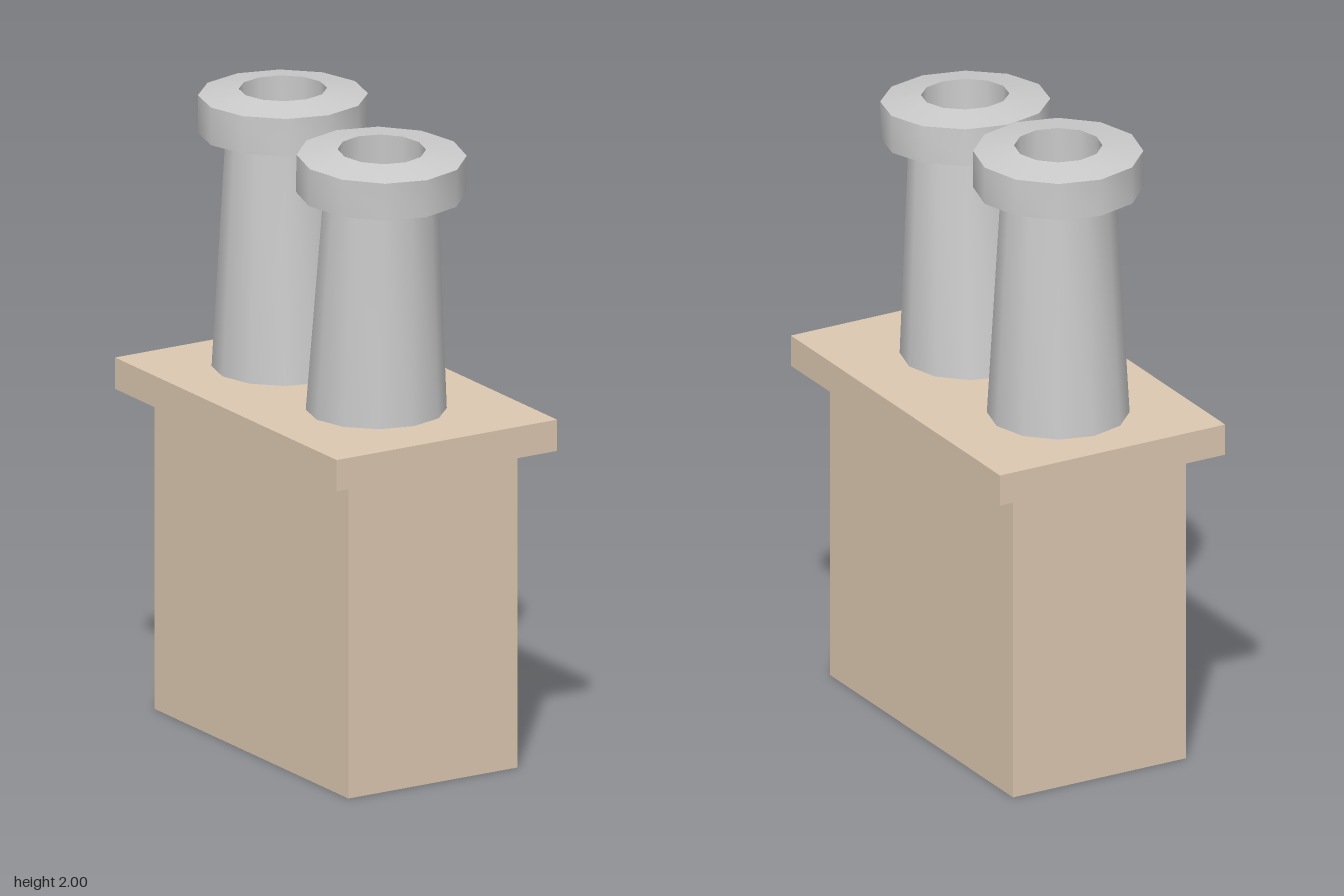
import * as THREE from 'three';
import { toCreasedNormals } from 'three/addons/utils/BufferGeometryUtils.js';

export function createModel() {
  const model = new THREE.Group();
  model.name = 'chimney';
  const brick = new THREE.MeshStandardMaterial({ color: 0xdcc8b0 });
  const clay = new THREE.MeshStandardMaterial({ color: 0xcccccc });

  // Box given by its size and the height of its underside
  function block(name, width, height, depth, bottom) {
    const mesh = new THREE.Mesh(new THREE.BoxGeometry(width, height, depth), brick);
    mesh.name = name;
    mesh.position.y = bottom + height / 2;
    model.add(mesh);
  }
  block('stack', 0.61, 1.016, 1.11, 0);
  block('capSlab', 0.795, 0.1, 1.27, 1.016);

  // Hollow tapered pot with a flanged rim: up the outside, down the bore
  const profile = [
    [0.157, 0], [0.218, 0], [0.175, 0.745], [0.26, 0.745],
    [0.26, 0.865], [0.135, 0.884], [0.157, 0],
  ].map(([r, y]) => new THREE.Vector2(r, y));
  const potGeometry = toCreasedNormals(new THREE.LatheGeometry(profile, 12), 0.6);

  function pot(name, x, y, z, tiltX, tiltZ) {
    const mesh = new THREE.Mesh(potGeometry, clay);
    mesh.name = name;
    mesh.position.set(x, y, z);
    mesh.rotation.set(tiltX, 0, tiltZ);
    model.add(mesh);
  }
  pot('backPot', -0.007, 1.116, -0.293, 0, 0);
  // The front pot is sunk a little into the slab and leans forward
  pot('frontPot', -0.008, 1.073, 0.242, 0.05, 0.008);

  return model;
}
